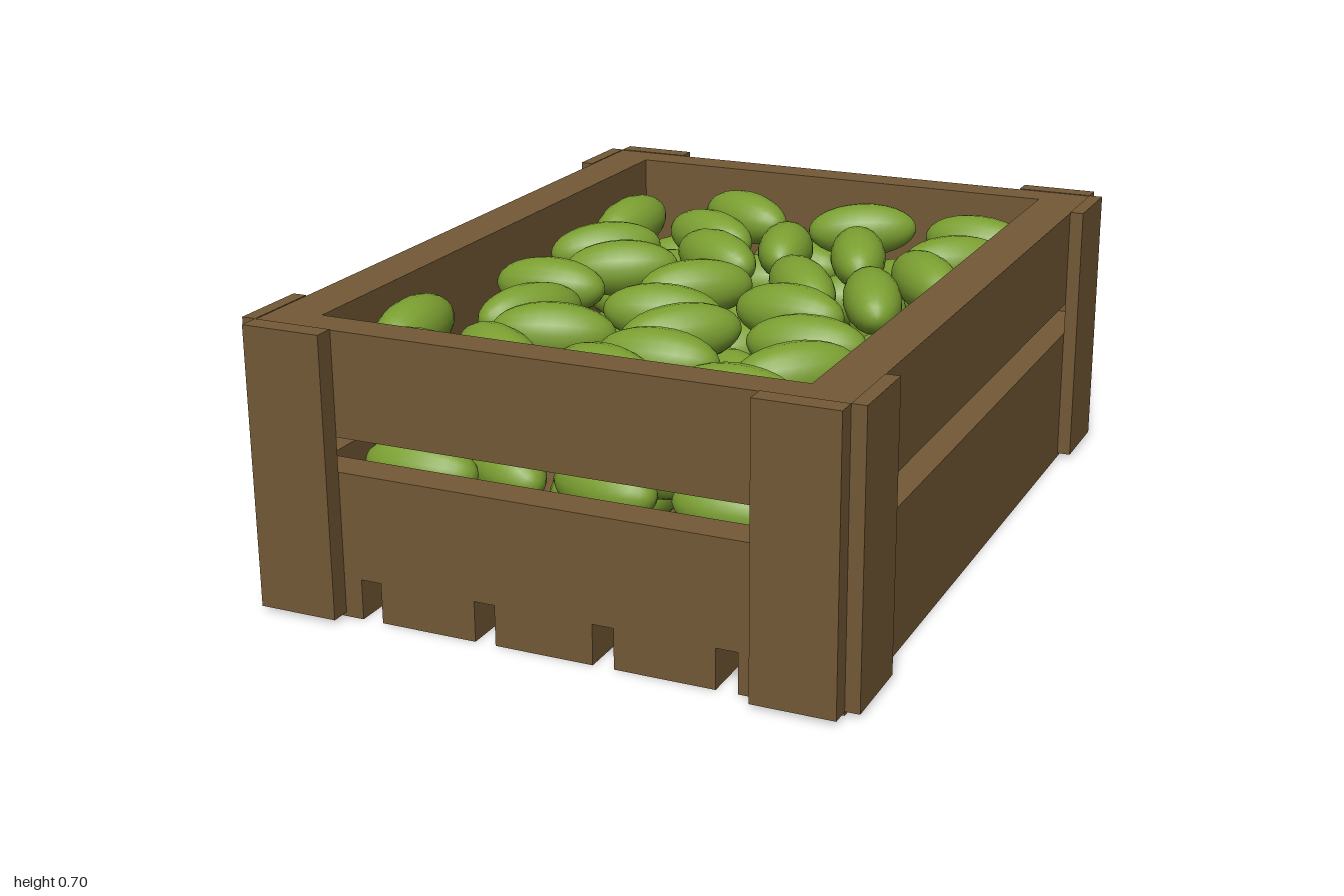
import * as THREE from 'three';

const wood = new THREE.MeshStandardMaterial({ color: 0x735936 });
wood.name = 'brown wood';
const green = new THREE.MeshStandardMaterial({ color: 0x7b9f31 });
green.name = 'green fruit skin';

// Fruit placements: [x, z, heading in degrees]
const upperFruit = [
  [-.22, -.73, 25], [.14, -.71, -18], [.46, -.76, 3], [-.48, -.51, 95], [-.23, -.5, 25],
  [.01, -.46, 75], [.23, -.43, 68], [.47, -.53, -38], [-.43, -.25, -35], [-.12, -.29, 32],
  [.18, -.15, 48], [.47, -.28, 48], [-.32, -.12, -22], [-.06, -.02, -40], [.4, -.07, 65],
  [-.42, .09, -2], [.25, .11, 10], [-.04, .22, -14], [-.35, .33, -65], [.08, .38, -40],
  [.37, .3, -3], [-.21, .47, -22], [-.53, .58, 88], [.42, .5, -40], [.11, .57, -3],
  [-.24, .68, 30], [-.41, .77, 2], [.05, .73, 18], [.36, .7, -4],
];
const lowerFruit = [
  [-.37, -.69, -12], [-.07, -.75, 15], [.28, -.69, 35], [.52, -.62, 60], [-.38, -.5, -55],
  [-.11, -.58, -5], [.22, -.48, -28], [-.36, -.31, -10], [.06, -.23, -12], [.32, -.35, 80],
  [.49, -.12, -30], [-.2, -.1, 12], [.08, .02, -45], [.36, .08, -40], [-.17, .12, 50],
  [-.34, .12, 70], [-.45, .27, 48], [.5, .19, -40], [.17, .25, 30], [0, .38, 80],
  [-.15, .47, 60], [.53, .48, 88], [.28, .46, 25], [-.38, .53, -45], [-.1, .72, -15], [.25, .71, 20],
];

// Board given by its extents along each axis
function board(parent, name, [x0, x1], [y0, y1], [z0, z1]) {
  const mesh = new THREE.Mesh(new THREE.BoxGeometry(x1 - x0, y1 - y0, z1 - z0), wood);
  mesh.position.set((x0 + x1) / 2, (y0 + y1) / 2, (z0 + z1) / 2);
  mesh.name = name;
  parent.add(mesh);
}

// Extent mirrored to the given side
const side = (s, a, b) => (s > 0 ? [a, b] : [-b, -a]);

export function createModel() {
  const model = new THREE.Group();
  model.name = 'fruitCrate';
  const crate = new THREE.Group();
  crate.name = 'crate';
  model.add(crate);

  // Floor slats
  for (let i = -2; i <= 2; i++) {
    const x = i * 0.2985;
    board(crate, 'floorSlat', [x - 0.123, x + 0.123], [0, 0.1], [-0.95, 0.95]);
  }

  // Two rows of wall boards, with a slit between them
  for (const y of [[0.1, 0.36], [0.445, 0.7]]) {
    for (const s of [-1, 1]) {
      board(crate, 'sideBoard', side(s, 0.6, 0.72), y, [-0.95, 0.95]);
      board(crate, 'endBoard', [-0.6, 0.6], y, side(s, 0.86, 0.95));
    }
  }

  // Corner battens on the outside
  for (const sx of [-1, 1]) {
    for (const sz of [-1, 1]) {
      board(crate, 'endBatten', side(sx, 0.52, 0.72), [0.01, 0.702], side(sz, 0.95, 1));
      board(crate, 'sideBatten', side(sx, 0.72, 0.755), [0.01, 0.702], side(sz, 0.745, 0.95));
    }
  }

  // Long oval fruit piled in four layers
  const pile = new THREE.Group();
  pile.name = 'fruitPile';
  model.add(pile);
  const fruitShape = new THREE.SphereGeometry(1, 18, 14).rotateZ(Math.PI / 2).scale(0.15, 0.074, 0.074);
  [[upperFruit, 0.595], [lowerFruit, 0.462], [upperFruit, 0.328], [lowerFruit, 0.19]].forEach(([places, y]) => {
    places.forEach(([x, z, deg], i) => {
      const fruit = new THREE.Mesh(fruitShape, green);
      fruit.name = 'fruit';
      fruit.position.set(x, y + 0.008 * Math.sin(i * 2.4), z);
      fruit.rotation.set(0, -THREE.MathUtils.degToRad(deg), 0.06 * Math.sin(i * 1.7));
      pile.add(fruit);
    });
  });

  return model;
}
